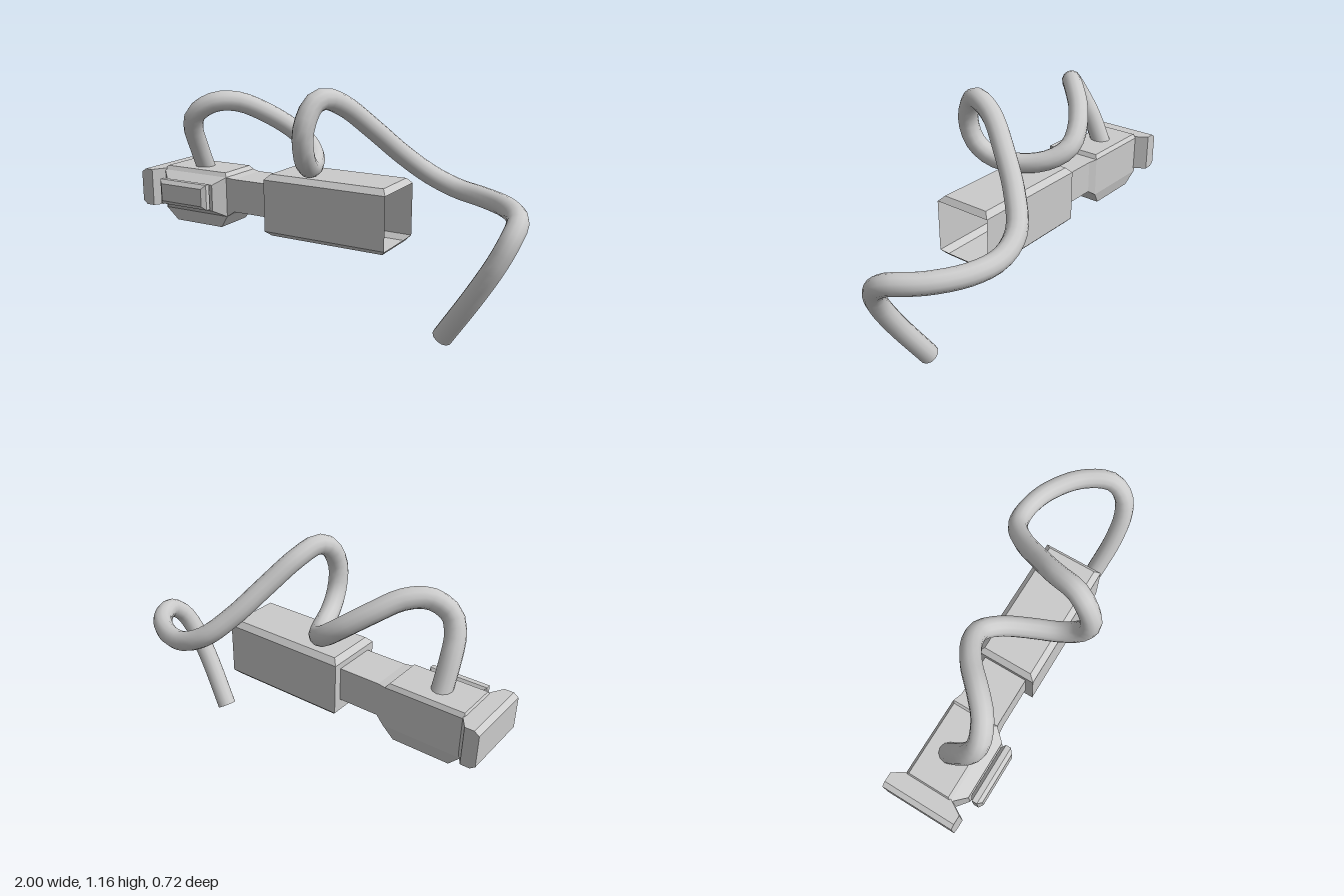
import * as THREE from 'three';

const material = new THREE.MeshStandardMaterial({ color: 0xcccccc, flatShading: true, side: THREE.DoubleSide });
const smooth = new THREE.MeshStandardMaterial({ color: 0xcccccc, side: THREE.DoubleSide });

// Rectangular loft along an axis. Rings are [position, a0, a1, b0, b1], ascending, with
// (a, b) = (y, z) on x, (z, x) on y, (x, y) on z. Sides: 0 = b0, 1 = a1, 2 = b1, 3 = a0.
// skip lists 'segment:side' walls to leave open, or 'start' / 'end' caps.
function loft(axis, rings, skip = []) {
  const place = {
    x: (p, a, b) => [p, a, b],
    y: (p, a, b) => [b, p, a],
    z: (p, a, b) => [a, b, p],
  }[axis];
  const corners = rings.map(([p, a0, a1, b0, b1]) =>
    [[a0, b0], [a1, b0], [a1, b1], [a0, b1]].map(([a, b]) => place(p, a, b)));
  const pos = [];
  const quad = (a, b, c, d) => pos.push(...a, ...b, ...c, ...a, ...c, ...d);
  for (let s = 0; s < corners.length - 1; s++) {
    const lo = corners[s], hi = corners[s + 1];
    for (let i = 0; i < 4; i++) {
      const j = (i + 1) % 4;
      if (!skip.includes(`${s}:${i}`)) quad(lo[i], lo[j], hi[j], hi[i]);
    }
  }
  const first = corners[0], last = corners[corners.length - 1];
  if (!skip.includes('start')) quad(first[3], first[2], first[1], first[0]);
  if (!skip.includes('end')) quad(...last);
  const geo = new THREE.BufferGeometry();
  geo.setAttribute('position', new THREE.Float32BufferAttribute(pos, 3));
  geo.computeVertexNormals();
  return geo;
}

export function createModel() {
  const model = new THREE.Group();
  const add = (name, geo, mat = material) => {
    const mesh = new THREE.Mesh(geo, mat);
    mesh.name = name;
    model.add(mesh);
  };

  // Thin-walled housing with bevelled top and bottom, open at the +x end
  add('housing', loft('y', [
    [0.415, -0.085, 0.165, -0.22, 0.385],
    [0.44, -0.11, 0.193, -0.245, 0.407],
    [0.70, -0.11, 0.193, -0.245, 0.407],
    [0.727, -0.085, 0.165, -0.22, 0.385],
  ], ['1:0', '1:2']));

  // Inner end wall of the housing, pierced where the neck enters
  const wall = new THREE.Shape([[-0.11, 0.44], [0.193, 0.44], [0.193, 0.70], [-0.11, 0.70]]
    .map(([z, y]) => new THREE.Vector2(z, y)));
  wall.holes.push(new THREE.Path([[-0.07, 0.50], [-0.07, 0.67], [0.153, 0.67], [0.153, 0.50]]
    .map(([z, y]) => new THREE.Vector2(z, y))));
  add('housingEndWall', new THREE.ShapeGeometry(wall).rotateY(-Math.PI / 2).translate(-0.245, 0, 0));

  // Hollow neck, flared where it meets the plug
  add('neck', loft('x', [
    [-0.50, 0.47, 0.675, -0.085, 0.155],
    [-0.455, 0.50, 0.67, -0.07, 0.153],
    [-0.245, 0.50, 0.67, -0.07, 0.153],
  ], ['start', 'end']));

  // Plug body with tapered underside
  add('plug', loft('y', [
    [0.403, -0.07, 0.14, -0.84, -0.55],
    [0.47, -0.085, 0.155, -0.90, -0.50],
    [0.675, -0.085, 0.155, -0.90, -0.50],
    [0.695, -0.07, 0.14, -0.89, -0.515],
  ], ['1:1', '1:2']));

  // Bevelled bulge on the front of the plug
  add('plugFront', loft('z', [
    [0.155, -0.90, -0.50, 0.47, 0.675],
    [0.21, -0.84, -0.55, 0.505, 0.64],
  ], ['start']));

  // Push button
  add('button', loft('z', [
    [0.215, -0.825, -0.57, 0.54, 0.63],
    [0.232, -0.845, -0.55, 0.52, 0.65],
    [0.258, -0.845, -0.55, 0.52, 0.65],
    [0.275, -0.825, -0.57, 0.54, 0.63],
  ]));

  // Flared plate at the plug end
  add('endPlate', loft('x', [
    [-1.0, 0.508, 0.665, -0.145, 0.223],
    [-0.975, 0.49, 0.683, -0.145, 0.223],
    [-0.93, 0.49, 0.683, -0.145, 0.223],
    [-0.89, 0.49, 0.683, -0.085, 0.155],
  ]));

  // Coiled cord
  const path = new THREE.CatmullRomCurve3([
    [-0.72, 0.66, 0.025], [-0.715, 0.82, 0.10], [-0.70, 0.91, 0.15], [-0.66, 0.99, 0.175],
    [-0.57, 1.05, 0.14], [-0.48, 1.05, 0.06], [-0.38, 0.99, -0.04], [-0.27, 0.91, -0.11],
    [-0.19, 0.85, -0.12], [-0.11, 0.80, -0.06], [-0.04, 0.775, 0.06], [0.01, 0.79, 0.19],
    [0.04, 0.86, 0.28], [0.055, 0.98, 0.31], [0.075, 1.09, 0.26], [0.10, 1.115, 0.20],
    [0.14, 1.07, 0.08], [0.22, 0.95, -0.06], [0.31, 0.82, -0.19], [0.42, 0.71, -0.29],
    [0.55, 0.65, -0.315], [0.70, 0.63, -0.28], [0.86, 0.62, -0.17], [0.945, 0.60, -0.03],
    [0.94, 0.54, 0.05], [0.90, 0.44, 0.09], [0.81, 0.28, 0.095], [0.65, 0.028, 0.06],
  ].map((p) => new THREE.Vector3(...p)));
  const radius = 0.05;
  add('cord', new THREE.TubeGeometry(path, 90, radius, 12), smooth);

  // Flat cap on the free end of the cord
  const cap = new THREE.CircleGeometry(radius, 12);
  cap.applyQuaternion(new THREE.Quaternion().setFromUnitVectors(new THREE.Vector3(0, 0, 1), path.getTangent(1)));
  cap.translate(...path.getPoint(1).toArray());
  add('cordEnd', cap);

  return model;
}
